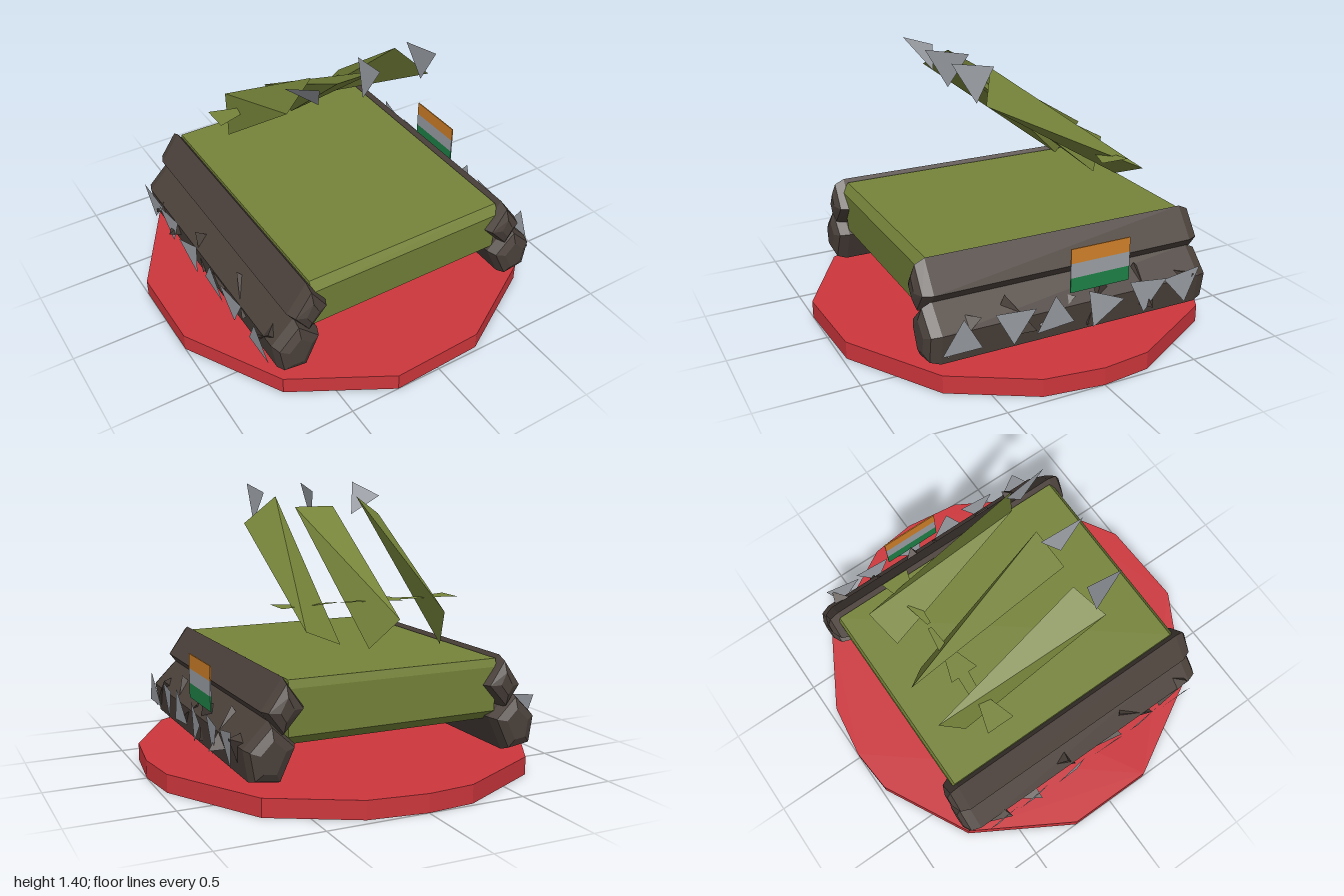
import * as THREE from 'three';
import { ConvexGeometry } from 'three/addons/geometries/ConvexGeometry.js';

const paint = (name, color, extra = {}) => {
  const m = new THREE.MeshStandardMaterial({ color, ...extra });
  m.name = name;
  return m;
};

export function createModel() {
  const model = new THREE.Group();
  model.name = 'missileCarrier';
  const flat = { flatShading: true };
  const both = { flatShading: true, side: THREE.DoubleSide };
  const red = paint('red', 0xcc363c, flat);
  const olive = paint('olive', 0x76843a, both);
  const brown = paint('darkBrown', 0x4b413b, flat);
  const silver = paint('silver', 0x9b9fa5, both);
  const orange = paint('orange', 0xd08029, both);
  const green = paint('green', 0x1e8046, both);

  const add = (name, geometry, material, parent = model) => {
    const mesh = new THREE.Mesh(geometry, material);
    mesh.name = name;
    parent.add(mesh);
    return mesh;
  };
  const group = (name) => {
    const g = new THREE.Group();
    g.name = name;
    model.add(g);
    return g;
  };
  const shape = (pts) => new THREE.Shape(pts.map(([x, y]) => new THREE.Vector2(x, y)));
  const hull = (pts) => new ConvexGeometry(pts.map((p) => new THREE.Vector3(...p)));
  const sheet = (pts) => {
    const g = new THREE.BufferGeometry().setFromPoints(pts.map((p) => new THREE.Vector3(...p)));
    g.setIndex(pts.length === 3 ? [0, 1, 2] : [0, 1, 2, 0, 2, 3]);
    g.computeVertexNormals();
    return g;
  };

  // Uneven faceted base disc, outline given as x, z
  const rim = [[-0.24, -0.98], [0, -1], [0.29, -0.96], [0.69, -0.74], [0.97, -0.25], [1, 0],
    [0.96, 0.3], [0.73, 0.69], [0.24, 0.98], [-0.24, 1], [-0.72, 0.73], [-1, 0.23], [-1, -0.23], [-0.7, -0.74]];
  const disc = new THREE.ExtrudeGeometry(shape(rim.map(([x, z]) => [x, -z])), { depth: 0.09, bevelEnabled: false });
  add('base', disc.rotateX(-Math.PI / 2), red);

  // Hull, side profile swept across the width
  const profile = [[-0.68, 0.59], [-0.71, 0.54], [-0.69, 0.32], [-0.63, 0.28], [0.63, 0.28],
    [0.69, 0.33], [0.7, 0.55], [0.69, 0.59]];
  const body = new THREE.ExtrudeGeometry(shape(profile), { depth: 1.08, bevelEnabled: false });
  add('hull', body.translate(0, 0, -0.54).rotateY(Math.PI / 2), olive);

  // Tracks: two bevelled rails per side, wheel spikes and triangular hub plates
  const upper = [[0.565, 0.605], [0.465, 0.465], [0.58, 0.34], [0.67, 0.46]];
  const lower = [[0.635, 0.42], [0.51, 0.3], [0.59, 0.13], [0.73, 0.15], [0.755, 0.3]];
  const hubs = [[0.61, 0.27, 1.57], [0.35, 0.3, 0.5], [0.14, 0.28, 1.65], [-0.11, 0.28, 0.15],
    [-0.36, 0.3, 0.45], [-0.57, 0.3, 0.72]];
  for (const s of [1, -1]) {
    const track = group(s > 0 ? 'leftTrack' : 'rightTrack');
    for (const [name, section] of [['upperRail', upper], ['lowerRail', lower]]) {
      const pts = section.map(([x, y]) => [s * x, y]);
      const rail = new THREE.ExtrudeGeometry(shape(pts), {
        depth: 1.38, bevelThickness: 0.07, bevelSize: 0.055, bevelOffset: -0.055, bevelSegments: 2,
      });
      add(name, rail.translate(0, 0, -0.685), brown, track);
    }
    hubs.forEach(([z, y, turn], i) => {
      const spike = add('wheelSpike', new THREE.TetrahedronGeometry(0.145), brown, track);
      spike.position.set(s * 0.675, 0.27, z - 0.02);
      spike.rotation.set(turn + i * 0.9, i * 0.7 * s, i * 1.3);
      // turn is the direction of one corner in the side view
      const corners = [0, 1, 2].map((k) => {
        const a = turn + (k * Math.PI * 2) / 3;
        return [s * (0.785 + 0.012 * Math.cos(k * 2)), y + 0.115 * Math.sin(a), z - 0.115 * Math.cos(a)];
      });
      add('hubPlate', sheet(corners), silver, track);
    });
  }

  // Three-striped flag on one side
  const flag = group('flag');
  [['topStripe', orange], ['middleStripe', silver], ['bottomStripe', green]].forEach(([name, mat], i) => {
    add(name, new THREE.BoxGeometry(0.006, 0.0735, 0.32), mat, flag)
      .position.set(0.755, 0.553 - i * 0.0735, -0.11);
  });

  // Missiles: tetrahedral wedge body, flat nose triangle, thin tail fins at y 0.86
  const missiles = [
    {
      body: [[-0.41, 1.23, 0.28], [-0.24, 1.33, 0.21], [-0.35, 0.64, -0.49], [-0.3, 0.82, -0.61]],
      nose: [[-0.39, 1.33, 0.23], [-0.25, 1.23, 0.29], [-0.32, 1.4, 0.42]],
      fins: [[[-0.48, -0.44], [-0.48, -0.29], [-0.32, -0.34], [-0.32, -0.39]],
        [[-0.33, -0.41], [-0.33, -0.36], [-0.17, -0.34], [-0.17, -0.4]]],
    },
    {
      body: [[-0.12, 1.28, 0.25], [0.1, 1.28, 0.25], [0.045, 0.65, -0.5], [-0.06, 0.8, -0.61]],
      nose: [[0.015, 1.36, 0.21], [-0.02, 1.2, 0.31], [-0.01, 1.4, 0.43]],
      fins: [[[-0.17, -0.44], [-0.17, -0.29], [-0.02, -0.34], [-0.02, -0.39]],
        [[0, -0.4], [0, -0.35], [0.13, -0.36], [0.13, -0.38]]],
    },
    {
      body: [[0.23, 1.34, 0.2], [0.37, 1.2, 0.29], [0.4, 0.77, -0.57], [0.21, 0.69, -0.53]],
      nose: [[0.29, 1.36, 0.21], [0.31, 1.2, 0.31], [0.3, 1.4, 0.43]],
      fins: [[[0.46, -0.44], [0.46, -0.29], [0.3, -0.34], [0.3, -0.39]],
        [[0.15, -0.37], [0.15, -0.35], [0.29, -0.34], [0.29, -0.4]]],
    },
  ];
  for (const { body: wedge, nose, fins } of missiles) {
    const missile = group('missile');
    add('missileBody', hull(wedge), olive, missile);
    add('missileNose', sheet(nose), silver, missile);
    for (const fin of fins) add('missileFin', sheet(fin.map(([x, z]) => [x, 0.86, z])), olive, missile);
  }
  return model;
}
